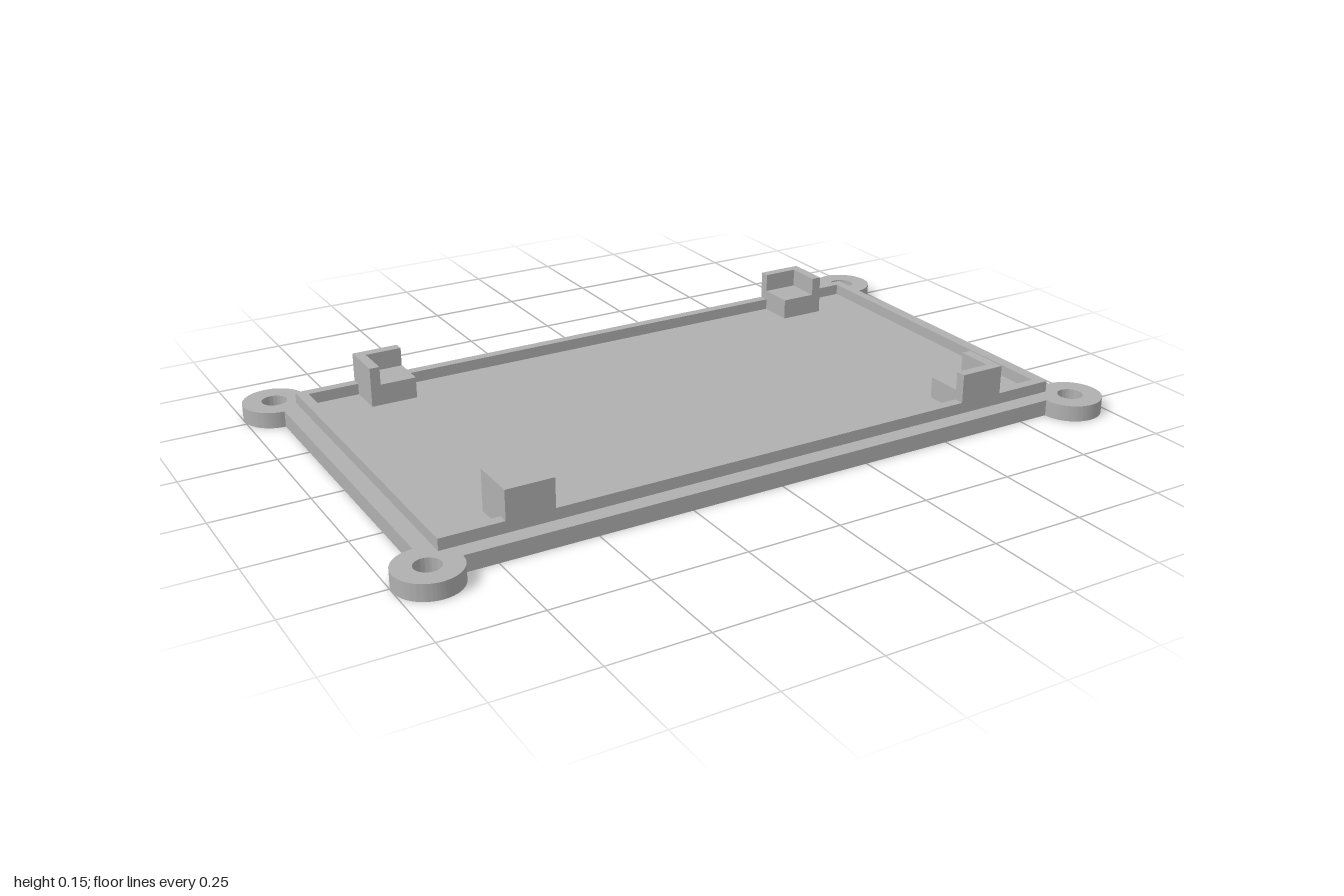
import * as THREE from 'three';
import { toCreasedNormals } from 'three/addons/utils/BufferGeometryUtils.js';

const HALF_W = 0.917, HALF_D = 0.516;     // base plate half size
const EAR_R = 0.083, HOLE_R = 0.033;      // screw ears
const RIM_W = 0.873, RIM_D = 0.47;        // raised rim, outer half size
const WALL = 0.027;
const BASE_Y = 0.043, RIM_Y = 0.073, SHELF_Y = 0.1, TOP_Y = 0.15;

// Extrudes a plan shape upwards from y0 to y1
function slab(shape, y0, y1) {
  const geo = new THREE.ExtrudeGeometry(shape, { depth: y1 - y0, bevelEnabled: false, curveSegments: 40 });
  geo.rotateX(-Math.PI / 2).translate(0, y0, 0);
  return toCreasedNormals(geo, 0.5);
}

function rectPath(path, w, d) {
  path.moveTo(-w, -d).lineTo(w, -d).lineTo(w, d).lineTo(-w, d).closePath();
  return path;
}

export function createModel() {
  const model = new THREE.Group();
  model.name = 'enclosureLid';
  const grey = new THREE.MeshStandardMaterial({ color: 0xb0b0b0 });
  grey.name = 'grey plastic';

  const add = (parent, name, geo) => {
    const mesh = new THREE.Mesh(geo, grey);
    mesh.name = name;
    parent.add(mesh);
    return mesh;
  };

  // Base plate with a round, drilled ear at every corner
  const plate = new THREE.Shape();
  const corners = [[1, -1], [1, 1], [-1, 1], [-1, -1]];
  corners.forEach(([sx, sz], i) => {
    const start = Math.PI + i * Math.PI / 2;
    const x = sx * HALF_W, z = sz * HALF_D;
    if (i === 0) plate.moveTo(x + EAR_R * Math.cos(start), z + EAR_R * Math.sin(start));
    plate.absarc(x, z, EAR_R, start, start + Math.PI * 1.5, false);
    plate.holes.push(new THREE.Path().absarc(x, z, HOLE_R, 0, Math.PI * 2, true));
  });
  plate.closePath();
  add(model, 'basePlate', slab(plate, 0, BASE_Y));

  // Thin raised rim set in from the plate edge
  const rim = rectPath(new THREE.Shape(), RIM_W, RIM_D);
  rim.holes.push(rectPath(new THREE.Path(), RIM_W - WALL, RIM_D - WALL));
  add(model, 'rim', slab(rim, BASE_Y, RIM_Y));

  // Four corner brackets: an L-shaped wall around a low shelf
  const x0 = 0.585, x1 = 0.71, z0 = 0.345, z1 = RIM_D;
  const block = (ax, bx, az, bz, top, sx, sz) =>
    new THREE.BoxGeometry(bx - ax, top - BASE_Y, bz - az)
      .translate(sx * (ax + bx) / 2, (BASE_Y + top) / 2, sz * (az + bz) / 2);
  for (const [sx, sz] of corners) {
    const bracket = new THREE.Group();
    bracket.name = (sz > 0 ? 'front' : 'back') + (sx > 0 ? 'Left' : 'Right') + 'Bracket';
    add(bracket, 'longWall', block(x0, x1, z1 - WALL, z1, TOP_Y, sx, sz));
    add(bracket, 'sideWall', block(x1 - WALL, x1, z0, z1 - WALL, TOP_Y, sx, sz));
    add(bracket, 'shelf', block(x0, x1 - WALL, z0, z1 - WALL, SHELF_Y, sx, sz));
    model.add(bracket);
  }
  return model;
}
